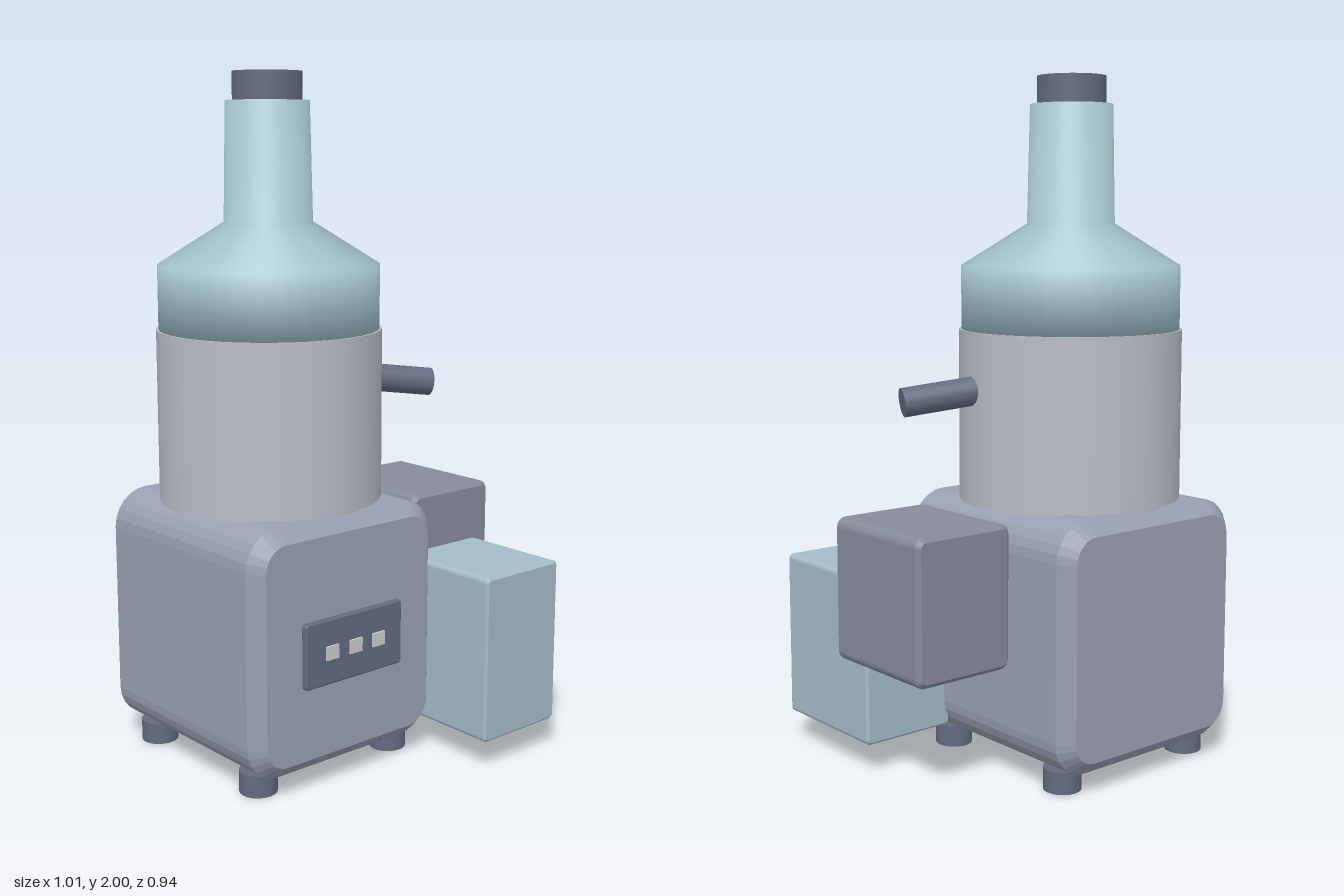
import * as THREE from 'three';

const mat = (color) => new THREE.MeshStandardMaterial({ color });

export function createModel() {
  const model = new THREE.Group();
  const shell = mat(0x9aa0b2), dark = mat(0x626b80), housing = mat(0x868b9b);
  const steel = mat(0xb9bdc9), glass = mat(0xa9c8d3), tank = mat(0xa4bcc8), light = mat(0xcccccc);
  const cx = -0.17, cz = -0.115;

  const add = (name, geometry, material, x = 0, y = 0, z = 0) => {
    const mesh = new THREE.Mesh(geometry, material);
    mesh.name = name;
    mesh.position.set(x, y, z);
    model.add(mesh);
    return mesh;
  };

  // Box between two corners: corners rounded in xy, chamfered at both z ends
  const roundedBox = (name, [x0, y0, z0], [x1, y1, z1], radius, bevel, segments, material) => {
    const w = (x1 - x0) / 2 - bevel, h = (y1 - y0) / 2 - bevel, r = radius - bevel;
    const shape = new THREE.Shape();
    shape.absarc(w - r, h - r, r, 0, Math.PI / 2);
    shape.absarc(r - w, h - r, r, Math.PI / 2, Math.PI);
    shape.absarc(r - w, r - h, r, Math.PI, Math.PI * 1.5);
    shape.absarc(w - r, r - h, r, Math.PI * 1.5, Math.PI * 2);
    shape.closePath();
    const depth = z1 - z0 - 2 * bevel;
    const geometry = new THREE.ExtrudeGeometry(shape, {
      depth, curveSegments: segments, bevelEnabled: true,
      bevelSize: bevel, bevelThickness: bevel, bevelSegments: 1,
    });
    geometry.translate(0, 0, -depth / 2);
    return add(name, geometry, material, (x0 + x1) / 2, (y0 + y1) / 2, (z0 + z1) / 2);
  };

  // Base housing and the two side units
  roundedBox('body', [-0.51, 0.06, -0.475], [0.17, 0.78, 0.245], 0.11, 0.04, 3, shell);
  roundedBox('sideHousing', [0.18, 0.345, -0.26], [0.505, 0.76, 0.13], 0.03, 0.013, 3, housing);
  roundedBox('sideTank', [0.15, 0.09, 0.06], [0.45, 0.585, 0.47], 0.015, 0.007, 3, tank);

  // Control panel with three buttons
  roundedBox('controlPanel', [-0.35, 0.315, 0.244], [0.01, 0.507, 0.265], 0.012, 0.005, 3, dark);
  for (const i of [-1, 0, 1]) {
    add('button', new THREE.BoxGeometry(0.045, 0.04, 0.015), light, cx + i * 0.086, 0.41, 0.264);
  }

  // Feet
  for (const sx of [-1, 1]) for (const sz of [-1, 1]) {
    add('foot', new THREE.CylinderGeometry(0.055, 0.055, 0.065, 20), dark,
      cx + sx * 0.247, 0.0325, cz + sz * 0.247);
  }

  // Drum carrying the vessel
  add('drum', new THREE.CylinderGeometry(0.327, 0.327, 0.5, 40), steel, cx, 1.025, cz);

  // Vessel: cylindrical belly, sloped shoulder, long neck
  const profile = [[0, 1.272], [0.32, 1.272], [0.32, 1.46], [0.128, 1.58], [0.12, 1.92], [0, 1.92]]
    .map(([r, y]) => new THREE.Vector2(r, y));
  add('vessel', new THREE.LatheGeometry(profile, 40), glass, cx, 0, cz);
  add('stopper', new THREE.CylinderGeometry(0.1, 0.1, 0.1, 32), dark, cx, 1.95, cz);

  // Handle sticking out of the drum
  const from = new THREE.Vector3(0.13, 1.108, -0.05), to = new THREE.Vector3(0.332, 1.08, 0.036);
  const axis = to.clone().sub(from);
  const handle = add('handle', new THREE.CylinderGeometry(0.042, 0.042, axis.length(), 20), dark);
  handle.position.copy(from).add(to).multiplyScalar(0.5);
  handle.quaternion.setFromUnitVectors(new THREE.Vector3(0, 1, 0), axis.normalize());

  return model;
}
